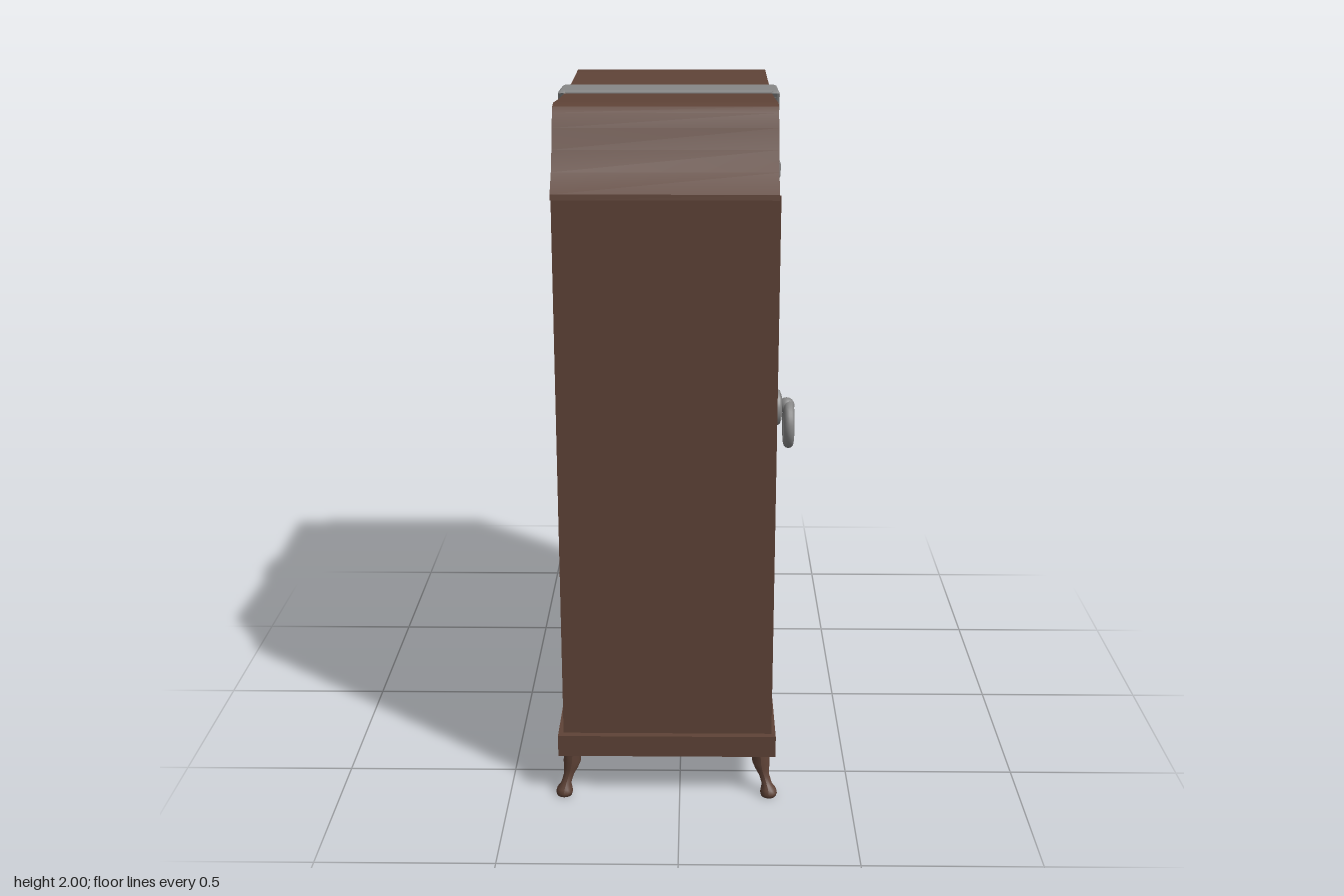
import * as THREE from 'three';
import { toCreasedNormals } from 'three/addons/utils/BufferGeometryUtils.js';

export function createModel() {
  const model = new THREE.Group();
  model.name = 'wardrobe';
  const wood = new THREE.MeshStandardMaterial({ color: 0x5f4337 });
  wood.name = 'brown wood';
  const iron = new THREE.MeshStandardMaterial({ color: 0x868686 });
  iron.name = 'grey iron';

  function add(name, geo, mat, x = 0, y = 0, z = 0) {
    const m = new THREE.Mesh(geo, mat);
    m.name = name;
    m.position.set(x, y, z);
    model.add(m);
    return m;
  }
  // box given by its limits on each axis
  function box(name, [x0, x1], [y0, y1], [z0, z1], mat = wood) {
    return add(name, new THREE.BoxGeometry(x1 - x0, y1 - y0, z1 - z0), mat,
      (x0 + x1) / 2, (y0 + y1) / 2, (z0 + z1) / 2);
  }
  // extrude a [z, y] outline along x, from x0 to x1
  function slab(name, outline, x0, x1, mat, bevel = 0) {
    const shape = new THREE.Shape(outline.map(([z, y]) => new THREE.Vector2(-z, y)));
    const geo = new THREE.ExtrudeGeometry(shape, {
      depth: x1 - x0 - 2 * bevel, bevelEnabled: bevel > 0,
      bevelThickness: bevel, bevelSize: bevel, bevelOffset: -bevel, bevelSegments: 2,
    });
    geo.rotateY(Math.PI / 2);
    return add(name, toCreasedNormals(geo, 0.5), mat, x0 + bevel, 0, 0);
  }

  // carcass
  box('base', [-0.355, 0.28], [0.13, 0.195], [-0.645, 0.645]);
  box('backPanel', [-0.34, -0.325], [0.195, 1.775], [-0.625, 0.625]);
  for (const s of [-1, 1]) {
    const z = [s * 0.625, s * 0.61].sort((a, b) => a - b);
    box('sidePanel', [-0.325, 0.268], [0.195, 1.775], z);
  }
  box('divider', [-0.325, 0.26], [0.195, 1.775], [-0.005, 0.01]);
  for (const y of [0.5, 0.815, 1.13, 1.455]) {
    box('shelf', [-0.325, 0.25], [y - 0.022, y], [-0.61, 0.61]);
  }

  // flared lid with a slightly sagging top
  const half = [[0.63, 1.765], [0.628, 1.78], [0.575, 1.83], [0.543, 1.885], [0.52, 1.94],
    [0.502, 1.978], [0.487, 1.993], [0.46, 2.0], [0.4, 1.996], [0.25, 1.988], [0.1, 1.983]];
  const lid = [...half, ...half.slice().reverse().map(([z, y]) => [-z, y])];
  slab('lid', lid.reverse(), -0.342, 0.264, wood);

  // door: three planks parted by wavy gaps, over a backing board
  box('doorBacking', [0.255, 0.271], [0.2, 1.77], [-0.617, 0.008]);
  const ys = [0.2, 0.36, 0.65, 0.9, 1.13, 1.55, 1.77];
  const straight = (z) => ys.map(() => z);
  const seams = [
    straight(0.004),
    [-0.226, -0.222, -0.2, -0.194, -0.19, -0.207, -0.206],
    [-0.432, -0.428, -0.409, -0.418, -0.434, -0.43, -0.416],
    straight(-0.606),
  ];
  for (let i = 0; i < 3; i++) {
    const left = seams[i].map((z, k) => [z - 0.004, ys[k]]);
    const right = seams[i + 1].map((z, k) => [z + 0.004, ys[k]]).reverse();
    slab('doorPlank', [...left, ...right], 0.268, 0.284, wood, 0.003);
  }
  box('doorEdge', [0.26, 0.282], [0.2, 1.77], [0.002, 0.013]);
  box('doorEdge', [0.26, 0.282], [0.2, 1.77], [-0.622, -0.608]);

  // iron bands across the top and bottom of the door
  for (const [y0, y1] of [[0.165, 0.228], [1.715, 1.778]]) {
    slab('doorBand', [[0.008, y0 + 0.016], [0.008, y1 - 0.008], [0, y1], [-0.606, y1],
      [-0.614, y1 - 0.008], [-0.614, y0 + 0.016], [-0.598, y0], [-0.008, y0]],
    0.262, 0.297, iron, 0.013);
  }

  // iron strap over the lid, with a pointed tongue at each end
  slab('topStrap', [[0.085, 1.972], [0.085, 1.986], [0.075, 1.992], [-0.075, 1.992],
    [-0.085, 1.986], [-0.085, 1.972]], -0.352, 0.276, iron);
  const tongue = [[0.09, 1.984], [0.08, 1.991], [-0.08, 1.991], [-0.09, 1.984], [-0.078, 1.955],
    [-0.062, 1.905], [-0.025, 1.884], [0, 1.878], [0.03, 1.886], [0.062, 1.912], [0.072, 1.945]];
  slab('strapTongueFront', tongue, 0.258, 0.286, iron, 0.009);
  slab('strapTongueBack', tongue, -0.362, -0.336, iron, 0.009);

  // ring handle
  const plate = new THREE.LatheGeometry([[0, 0], [0.06, 0], [0.062, 0.012], [0.055, 0.03], [0.04, 0.036], [0, 0.036]]
    .map(([r, y]) => new THREE.Vector2(r, y)), 24);
  plate.rotateZ(-Math.PI / 2);
  add('handlePlate', toCreasedNormals(plate, 0.6), iron, 0.282, 0.97, -0.097);
  const stem = new THREE.CylinderGeometry(0.018, 0.018, 0.03, 16);
  stem.rotateZ(Math.PI / 2);
  add('handleStem', stem, iron, 0.325, 0.975, -0.097);
  add('handleKnob', new THREE.SphereGeometry(0.026, 20, 14), iron, 0.334, 0.976, -0.097);
  const ring = new THREE.TorusGeometry(0.064, 0.0165, 12, 32);
  ring.rotateY(Math.PI / 2);
  add('handleRing', ring, iron, 0.341, 0.916, -0.097);

  // curved legs: [height, radius, outward shift]
  const legRows = [[0, 0, 0.03], [0, 0.022, 0.03], [0.01, 0.025, 0.03], [0.022, 0.022, 0.029],
    [0.035, 0.015, 0.025], [0.06, 0.015, 0.017], [0.08, 0.021, 0.011], [0.1, 0.026, 0.007],
    [0.12, 0.026, 0.006], [0.14, 0.032, 0], [0.19, 0.032, 0]];
  for (const sx of [-1, 1]) {
    for (const sz of [-1, 1]) {
      const geo = new THREE.LatheGeometry(legRows.map(([y, r]) => new THREE.Vector2(r, y)), 14);
      const p = geo.attributes.position;
      for (let i = 0; i < p.count; i++) {
        const shift = legRows[i % legRows.length][2];
        p.setX(i, p.getX(i) + sx * shift);
        p.setZ(i, p.getZ(i) + sz * shift);
      }
      geo.computeVertexNormals();
      add('leg', geo, wood, sx < 0 ? -0.366 + 0.056 : 0.287 - 0.055, 0, sz * 0.606);
    }
  }
  return model;
}
